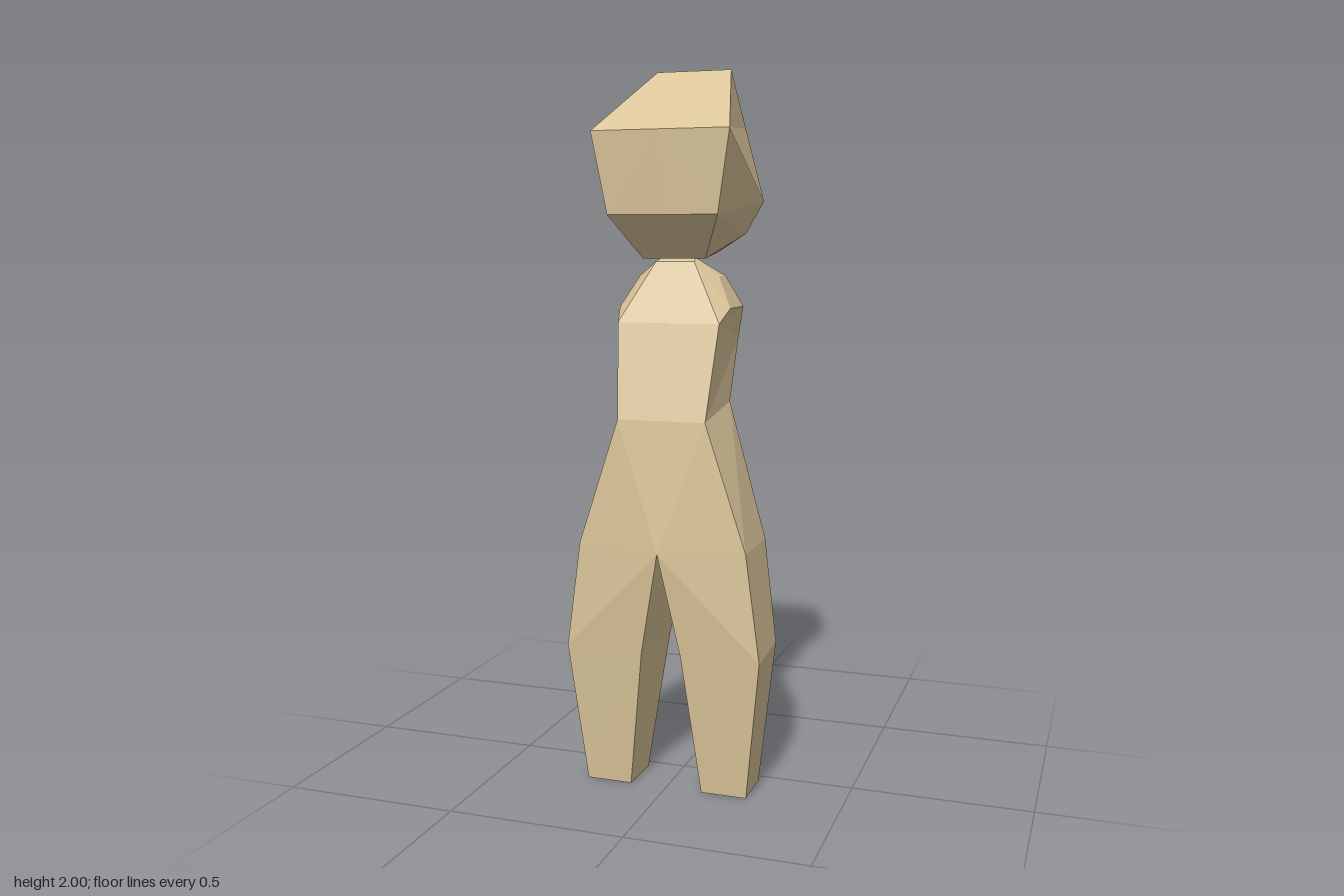
import * as THREE from 'three';

// Drop a point onto the mirror plane
const c = (p) => [0, p[1], p[2]];

// Build a flat faceted mesh from the faces of its left half, mirrored over x = 0
function mirroredMesh(name, faces, material) {
  const pos = [];
  for (const f of faces) {
    for (let i = 1; i < f.length - 1; i++) {
      const tri = [f[0], f[i], f[i + 1]];
      for (const p of tri) pos.push(...p);
      for (const p of tri.reverse()) pos.push(-p[0], p[1], p[2]);
    }
  }
  const geo = new THREE.BufferGeometry();
  geo.setAttribute('position', new THREE.Float32BufferAttribute(pos, 3));
  geo.computeVertexNormals();
  const mesh = new THREE.Mesh(geo, material);
  mesh.name = name;
  return mesh;
}

// Faces between consecutive levels, each level being [front corner, back corner]
const frontBand = (a, b) => [c(a), c(b), b, a];
const backBand = (a, b) => [a, b, c(b), c(a)];
const sideBand = (a, b) => [b[0], b[1], a[1], a[0]];

export function createModel() {
  const group = new THREE.Group();
  group.name = 'figure';
  const tan = new THREE.MeshStandardMaterial({ color: 0xdbc59a });
  tan.name = 'tan';

  // Head: crown, brow, jaw and chin levels
  const head = [
    [[0.108, 2, -0.085], [0.108, 1.85, -0.235]],
    [[0.193, 1.82, 0.21], [0.193, 1.64, -0.13]],
    [[0.155, 1.6, 0.19], [0.15, 1.55, -0.095]],
    [[0.09, 1.483, 0.09], [0.09, 1.5, -0.03]],
  ];
  const headFaces = [];
  for (let i = 0; i < 3; i++) {
    const a = head[i], b = head[i + 1];
    headFaces.push(frontBand(a[0], b[0]), sideBand(a, b), backBand(a[1], b[1]));
  }
  const [crown, , , chin] = head;
  headFaces.push([c(crown[0]), crown[0], crown[1], c(crown[1])]);
  headFaces.push([chin[0], c(chin[0]), c(chin[1]), chin[1]]);
  group.add(mirroredMesh('head', headFaces, tan));

  // Torso levels from neck to hip
  const neck = [[0.055, 1.475, 0.08], [0.05, 1.485, 0.05]];
  const shoulder = [[0.115, 1.435, 0.045], [0.115, 1.435, -0.015]];
  const arm = [[0.16, 1.35, 0.085], [0.16, 1.35, -0.04]];
  const chest = [[0.145, 1.31, 0.14], [0.147, 1.26, -0.035]];
  const waist = [[0.125, 1.05, 0.2], [0.14, 1.09, 0.02]];
  const hip = [[0.24, 0.7, 0.2], [0.237, 0.7, -0.01]];
  const torso = [neck, shoulder, arm, chest, waist, hip];
  const crotchFront = [0, 0.69, 0.235], crotchBack = [0, 0.6, -0.035];

  const torsoFaces = [
    [c(neck[0]), neck[0], neck[1], c(neck[1])],
    frontBand(neck[0], chest[0]),
    frontBand(chest[0], waist[0]),
    [neck[0], chest[0], arm[0], shoulder[0]],
    [c(waist[0]), crotchFront, waist[0]],
    [waist[0], crotchFront, hip[0]],
    [hip[1], crotchBack, c(hip[1])],
  ];
  for (let i = 0; i < torso.length - 1; i++) {
    const a = torso[i], b = torso[i + 1];
    torsoFaces.push(sideBand(a, b), backBand(a[1], b[1]));
  }
  group.add(mirroredMesh('torso', torsoFaces, tan));

  // Legs: levels run outer front, outer back, inner back, inner front
  const legs = [
    [hip[0], hip[1], crotchBack, crotchFront],
    [[0.28, 0.4, 0.2], [0.27, 0.4, -0.015], [0.05, 0.4, -0.02], [0.057, 0.4, 0.205]],
    [[0.235, 0, 0.165], [0.235, 0, 0.035], [0.1, 0, 0.035], [0.105, 0, 0.165]],
  ];
  const legFaces = [];
  for (let i = 0; i < 2; i++) {
    for (let k = 0; k < 4; k++) {
      const n = (k + 1) % 4;
      legFaces.push([legs[i][k], legs[i + 1][k], legs[i + 1][n], legs[i][n]]);
    }
  }
  const [of, ob, ib, inf] = legs[2];
  legFaces.push([of, inf, ib, ob]);
  group.add(mirroredMesh('legs', legFaces, tan));

  return group;
}
